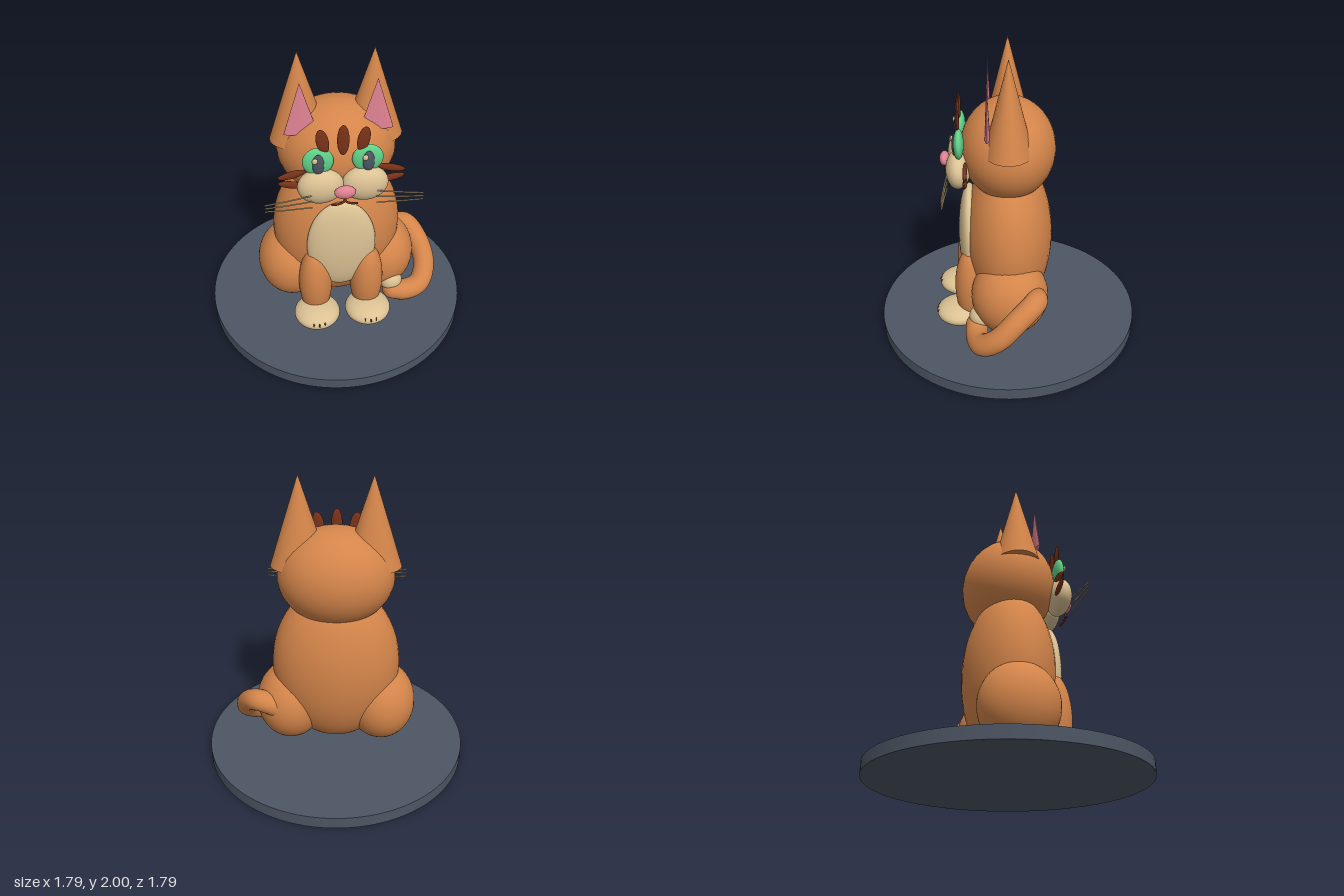
import * as THREE from 'three';

const paint = (name, color) => {
  const m = new THREE.MeshStandardMaterial({ color });
  m.name = name;
  return m;
};

export function createModel() {
  const orange = paint('orange fur', 0xd4854a);
  const cream = paint('cream fur', 0xdcc294);
  const rust = paint('rust stripe', 0x7a3219);
  const pink = paint('pink', 0xdf8292);
  const green = paint('eye green', 0x62d28a);
  const slate = paint('slate', 0x4d5664);

  const model = new THREE.Group();
  model.name = 'sittingCat';

  const add = (name, geometry, material, pos = [0, 0, 0], scale = [1, 1, 1], tilt = 0) => {
    const mesh = new THREE.Mesh(geometry, material);
    mesh.name = name;
    mesh.position.set(...pos);
    mesh.scale.set(...scale);
    mesh.rotation.z = tilt;
    model.add(mesh);
    return mesh;
  };
  const ball = new THREE.SphereGeometry(1, 40, 28);
  const bead = new THREE.SphereGeometry(1, 16, 12);
  const blob = (name, material, pos, radii, tilt = 0) =>
    add(name, Math.max(...radii) < 0.03 ? bead : ball, material, pos, radii, tilt);
  const tube = (name, material, points, radius, steps = 16, sides = 8) => {
    const path = new THREE.CatmullRomCurve3(points.map(p => new THREE.Vector3(...p)));
    return add(name, new THREE.TubeGeometry(path, steps, radius, sides), material);
  };

  // Stand
  add('base', new THREE.CylinderGeometry(0.897, 0.897, 0.08, 96), slate, [0, 0.04, 0]);

  // Torso and head
  blob('body', orange, [0, 0.68, 0], [0.435, 0.58, 0.3]);
  blob('belly', cream, [0, 0.695, 0.262], [0.23, 0.355, 0.076]);
  blob('head', orange, [0, 1.33, 0], [0.385, 0.33, 0.31]);
  blob('nose', pink, [0, 1.25, 0.415], [0.066, 0.045, 0.033]);
  blob('middleForeheadStripe', rust, [0, 1.567, 0.322], [0.037, 0.105, 0.013]);

  const earCone = new THREE.ConeGeometry(0.19, 0.6, 40);
  const innerEarCone = new THREE.ConeGeometry(0.106, 0.35, 32);

  for (const [side, s] of [['left', 1], ['right', -1]]) {
    // Ears
    add(side + 'Ear', earCone, orange, [s * 0.235, 1.7, 0], [1, 1, 0.81]);
    add(side + 'InnerEar', innerEarCone, pink, [s * 0.235, 1.685, 0.13], [1, 1, 0.16]);

    // Eyes
    blob(side + 'Eye', green, [s * 0.152, 1.42, 0.312], [0.096, 0.097, 0.033]);
    blob(side + 'Pupil', slate, [s * 0.153, 1.413, 0.338], [0.037, 0.072, 0.017]);
    blob(side + 'EyeGlint', cream, [s * 0.153 - 0.022, 1.45, 0.354], [0.018, 0.02, 0.01]);

    // Muzzle, mouth and markings
    blob(side + 'Muzzle', cream, [s * 0.138, 1.24, 0.32], [0.146, 0.122, 0.08]);
    tube(side + 'Mouth', rust,
      [[0, 1.2, 0.412], [s * 0.008, 1.172, 0.41], [s * 0.045, 1.152, 0.405], [s * 0.08, 1.14, 0.392]], 0.007);
    blob(side + 'ForeheadStripe', rust, [s * 0.124, 1.562, 0.318], [0.038, 0.087, 0.013], -s * 0.18);
    blob(side + 'UpperCheekStripe', rust, [s * 0.31, 1.303, 0.27], [0.09, 0.026, 0.014], -s * 0.25);
    blob(side + 'LowerCheekStripe', rust, [s * 0.31, 1.227, 0.27], [0.088, 0.026, 0.014], -s * -0.2);

    // Whiskers
    [[1.222, 1.19], [1.178, 1.166], [1.132, 1.142]].forEach(([inner, outer], i) =>
      tube(`${side}Whisker${i + 1}`, cream,
        [[s * 0.2, inner, 0.39], [s * 0.35, (inner + outer) / 2, 0.402], [s * 0.49, outer, 0.408]], 0.0045, 8, 6));

    // Front legs with toes, and haunches
    blob(side + 'FrontLeg', orange, [s * 0.177, 0.36, 0.25], [0.114, 0.3, 0.115]);
    blob(side + 'Paw', cream, [s * 0.178, 0.152, 0.338], [0.158, 0.074, 0.16]);
    for (const dx of [-0.038, 0, 0.038])
      blob(side + 'Toe', rust, [s * 0.178 + dx, 0.163, 0.49 - Math.abs(dx) * 0.2], [0.006, 0.018, 0.01]);
    blob(side + 'Haunch', orange, [s * 0.315, 0.38, -0.008], [0.238, 0.277, 0.258]);
  }

  // Tail curling forward round the left haunch
  tube('tail', orange, [
    [0.36, 0.4, -0.17], [0.52, 0.465, -0.17], [0.605, 0.39, -0.06], [0.637, 0.26, 0.07],
    [0.58, 0.172, 0.175], [0.47, 0.155, 0.212], [0.38, 0.18, 0.215],
  ], 0.075, 64, 24);
  blob('tailEnd', orange, [0.38, 0.18, 0.215], [0.075, 0.075, 0.075]);
  blob('tailTip', cream, [0.368, 0.247, 0.185], [0.08, 0.08, 0.08]);

  return model;
}
